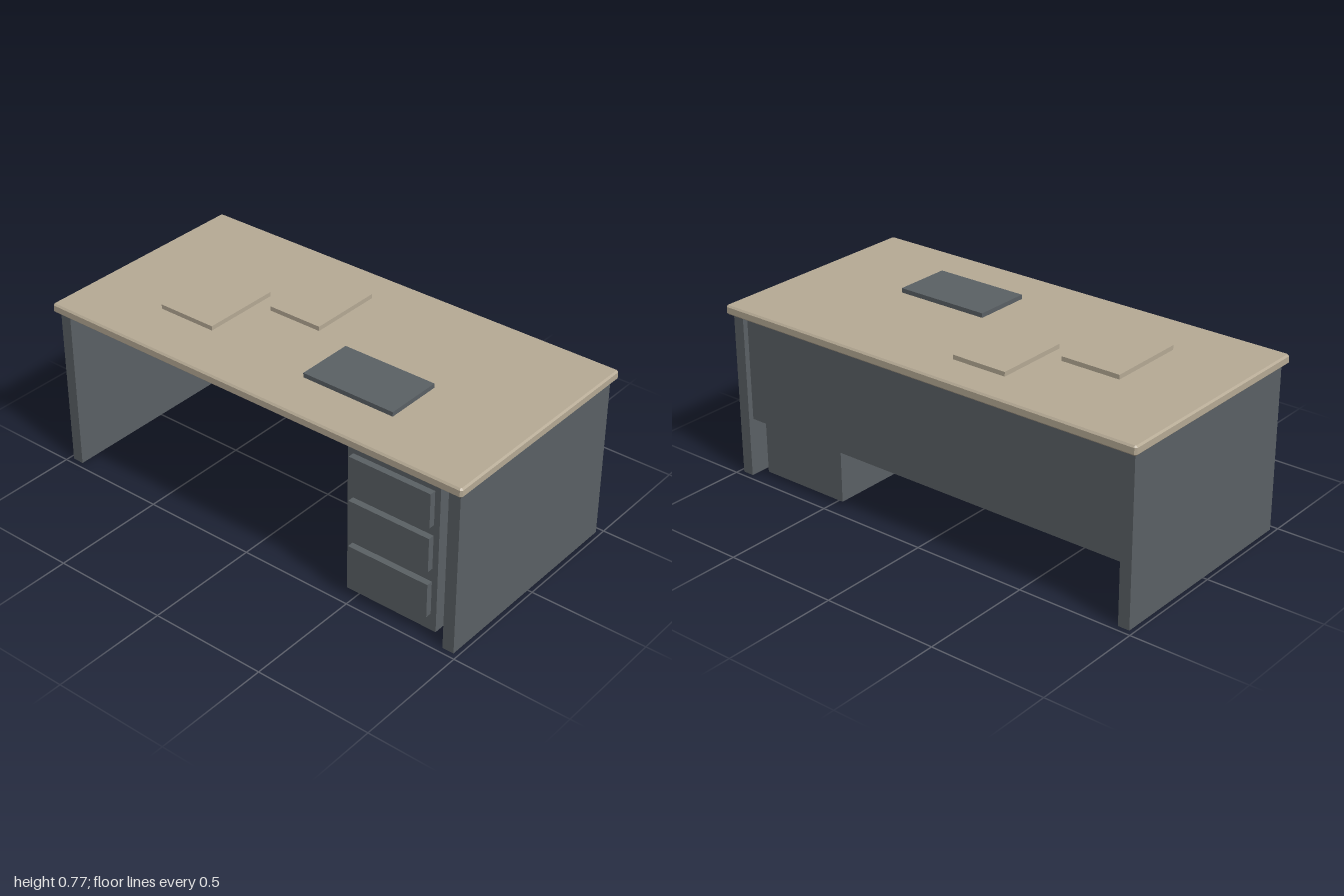
import * as THREE from 'three';

export function createModel() {
  const desk = new THREE.Group();
  desk.name = 'desk';
  const wood = new THREE.MeshStandardMaterial({ color: 0xb5a994 });
  wood.name = 'beige laminate';
  const slate = new THREE.MeshStandardMaterial({ color: 0x5a6064 });
  slate.name = 'slate grey';

  const add = (name, geometry, material, parent = desk) => {
    const mesh = new THREE.Mesh(geometry, material);
    mesh.name = name;
    parent.add(mesh);
    return mesh;
  };

  // Box given by its limits on each axis
  const box = (name, [x0, x1], [y0, y1], [z0, z1], material, parent) => {
    const mesh = add(name, new THREE.BoxGeometry(x1 - x0, y1 - y0, z1 - z0), material, parent);
    mesh.position.set((x0 + x1) / 2, (y0 + y1) / 2, (z0 + z1) / 2);
    return mesh;
  };

  // Table top: slab with every edge chamfered
  const bevel = 0.007, bottom = 0.711, top = 0.751;
  const w = 1 - bevel, d = 0.5 - bevel, c = 0.004;
  const outline = new THREE.Shape([
    [w, -d + c], [w, d - c], [w - c, d], [-w + c, d],
    [-w, d - c], [-w, -d + c], [-w + c, -d], [w - c, -d],
  ].map(([x, y]) => new THREE.Vector2(x, y)));
  const slab = new THREE.ExtrudeGeometry(outline, {
    depth: top - bottom - 2 * bevel,
    bevelEnabled: true, bevelSize: bevel, bevelThickness: bevel, bevelSegments: 1,
  });
  slab.rotateX(-Math.PI / 2);
  slab.translate(0, bottom + bevel, 0);
  add('tableTop', slab, wood);

  // Side panels carrying the top
  box('leftSidePanel', [0.93, 0.98], [0, bottom], [-0.475, 0.475], slate);
  box('rightSidePanel', [-0.98, -0.93], [0, bottom], [-0.475, 0.475], slate);

  // Modesty panel, set in from the back
  box('backPanel', [-0.935, 0.935], [0.25, bottom], [-0.452, -0.424], slate);

  // Drawer pedestal with three raised fronts
  const pedestal = new THREE.Group();
  pedestal.name = 'drawerPedestal';
  desk.add(pedestal);
  box('pedestalBody', [0.455, 0.872], [0.02, 0.67], [-0.438, 0.44], slate, pedestal);
  [0.095, 0.302, 0.497].forEach((y, i) =>
    box(`drawerFront${i + 1}`, [0.48, 0.847], [y, y + 0.148], [0.43, 0.467], slate, pedestal));

  // Flat things lying on the top
  const lying = [top - 0.003, 0.77];
  box('deskPad', [0.12, 0.54], lying, [0.04, 0.29], slate);
  box('frontPaperStack', [-0.636, -0.37], lying, [-0.092, 0.255], wood);
  box('backPaperStack', [-0.295, -0.048], lying, [-0.335, -0.005], wood);

  return desk;
}
